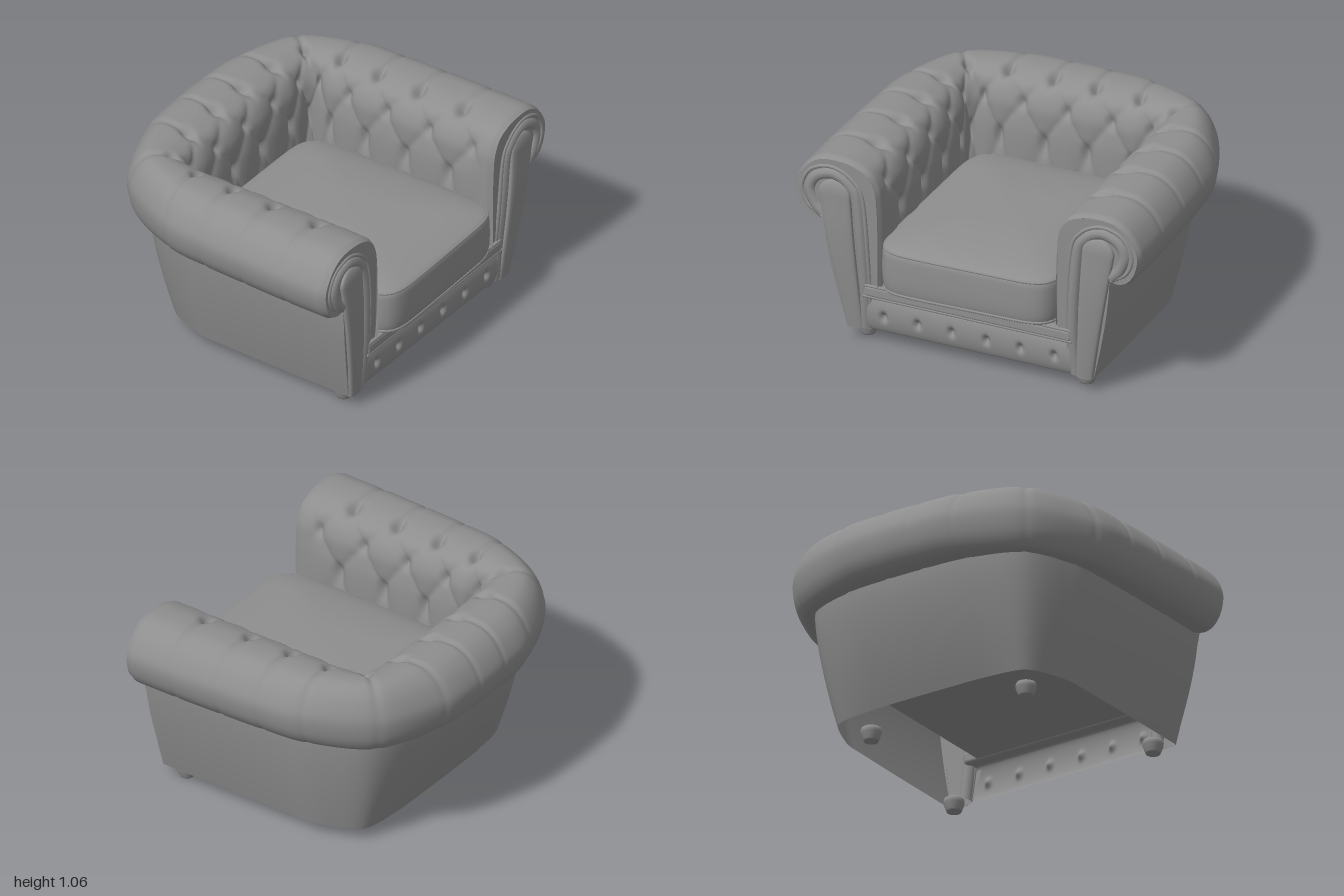
import * as THREE from 'three';
import { RoundedBoxGeometry } from 'three/addons/geometries/RoundedBoxGeometry.js';

const material = new THREE.MeshStandardMaterial({ color: 0x8e8e8e, side: THREE.DoubleSide });
const { smoothstep, lerp } = THREE.MathUtils;
const END = 7.5; // the upholstery is measured in tufts, from -END to END around the chair

function add(parent, name, geometry) {
  const mesh = new THREE.Mesh(geometry, material);
  mesh.name = name;
  parent.add(mesh);
  return mesh;
}

// Smooth surface from a function of (u, v), both 0..1
function surface(nu, nv, fn) {
  const pos = [], idx = [];
  for (let i = 0; i <= nu; i++)
    for (let j = 0; j <= nv; j++) {
      pos.push(...fn(i / nu, j / nv).toArray());
      if (i < nu && j < nv) {
        const a = i * (nv + 1) + j, b = a + nv + 1;
        idx.push(a, b, a + 1, b, b + 1, a + 1);
      }
    }
  const g = new THREE.BufferGeometry();
  g.setAttribute('position', new THREE.Float32BufferAttribute(pos, 3));
  g.setIndex(idx);
  g.computeVertexNormals();
  return g;
}

const curve = pts =>
  new THREE.CatmullRomCurve3(pts.map(([x, y, z = 0]) => new THREE.Vector3(x, y, z)), false, 'catmullrom');

const tube = (points, r, closed = false) =>
  new THREE.TubeGeometry(new THREE.CatmullRomCurve3(points, closed), points.length * 2, r, 10, closed);

// Plan rails around the chair: one [x, z] per pleat, mirrored
const rail = half => curve([
  ...half.slice().reverse().map(([x, z]) => [-x, 0, z]),
  ...half.map(([x, z]) => [x, 0, z])]);
const innerRail = rail([[0.125, -0.4], [0.38, -0.4], [0.53, -0.395], [0.52, -0.27],
  [0.51, -0.04], [0.505, 0.22], [0.5, 0.5], [0.5, 0.785]]);
const outerRail = rail([[0.11, -0.86], [0.37, -0.83], [0.735, -0.66], [0.93, -0.3],
  [0.97, -0.04], [0.985, 0.22], [0.995, 0.5], [0.995, 0.785]]);

// Cross-section of back and arms: [inner to outer 0..1, height]
const section = curve([[0, 0.33], [0, 0.52], [0.005, 0.71], [0.015, 0.82], [0.04, 0.915], [0.13, 1.0],
  [0.3, 1.045], [0.5, 1.06], [0.7, 1.05], [0.86, 1.0], [0.97, 0.92], [1, 0.85], [0.96, 0.76],
  [0.86, 0.695], [0.74, 0.675], [0.64, 0.685]]);
const SPANS = 15;

// Depth of the diamond tufting, of the pleats over the roll, and of the rounded front end
function tuftDepth(s, row) {
  const q = Math.abs(s), fade = 1 - smoothstep(q, 6.9, 7.3);
  const a = Math.abs(Math.cos(Math.PI * (s - row / 2)));
  const b = Math.abs(Math.cos(Math.PI * (s + row / 2)));
  const diamond = 0.022 * (Math.sqrt(a * b) - 0.6) - 0.03 * Math.exp(-(a * a + b * b) / 0.15);
  const d = Math.abs(s - Math.floor(s) - 0.5);
  const fold = -0.014 * Math.exp(-((d / 0.06) ** 2)) - 0.04 * Math.exp(-(d * d + (row - 2) ** 2 / 4) / 0.014);
  const pleat = fold * (1 - 0.75 * smoothstep(row, 2, 4.5));
  return fade * lerp(diamond, pleat, smoothstep(row, 1.3, 1.9)) - 0.014 * smoothstep(q, 7.38, END);
}

function bodyPoint(s, v) {
  const u = (s + END) / (2 * END);
  const a = innerRail.getPoint(u), e = outerRail.getPoint(u).sub(a);
  const L = e.length(), p = section.getPoint(v), k = section.getTangent(v);
  const n = new THREE.Vector2(-k.y, k.x * L).normalize();
  const d = tuftDepth(s, (v * SPANS - 2) / 2);
  a.addScaledVector(e, p.x + n.x * d / L);
  a.y = p.y + n.y * d;
  return a;
}

// Front faces curve back towards the floor
const lean = y => 0.05 * Math.pow(Math.max(0, 0.7 - y) / 0.63, 1.6);

function shellPoint(s, y) {
  const u = (s + END) / (2 * END), k = (y - 0.07) / 0.62, q = Math.abs(s);
  const bottom = lerp(0.23, 0.42, smoothstep(q, 2, 4));
  const t = lerp(bottom, 0.65, 1 - Math.pow(Math.max(0, 1 - k), 1.5));
  const p = innerRail.getPoint(u).lerp(outerRail.getPoint(u), t);
  p.y = y;
  p.z -= lean(y) * smoothstep(q, 4.5, END);
  return p;
}

// Scroll-shaped front of one arm, for +x
function buildArmFront() {
  const arm = new THREE.Group();
  // Flat end of the padded arm
  const outline = [new THREE.Vector2(0.57, 0.07)];
  for (let i = 0; i <= 60; i++) {
    const p = bodyPoint(END, i / 60);
    outline.push(new THREE.Vector2(p.x, p.y));
  }
  for (let i = 0; i <= 10; i++) {
    const p = shellPoint(END, 0.68 - 0.061 * i);
    outline.push(new THREE.Vector2(p.x, p.y));
  }
  const end = new THREE.ShapeGeometry(new THREE.Shape(outline));
  const pos = end.attributes.position;
  for (let i = 0; i < pos.count; i++) pos.setZ(i, 0.785 - lean(pos.getY(i)));
  end.computeVertexNormals();
  add(arm, 'armEnd', end);

  // Padded band that curls over the top, with piping along its outer edge
  const follow = (pts, z) => curve(pts).getPoints(50).map(p => new THREE.Vector3(p.x, p.y, z - lean(p.y)));
  add(arm, 'scrollBand', tube(follow([[0.607, 0.08], [0.6, 0.35], [0.632, 0.8], [0.68, 0.915],
    [0.77, 0.965], [0.865, 0.935], [0.905, 0.86], [0.88, 0.775], [0.83, 0.72]], 0.77), 0.034));
  add(arm, 'scrollPiping', tube(follow([[0.585, 0.08], [0.57, 0.35], [0.595, 0.8], [0.65, 0.94],
    [0.77, 1.005], [0.895, 0.97], [0.95, 0.865], [0.92, 0.765], [0.83, 0.7]], 0.783), 0.011));

  // Cushioned post panel with a round top
  add(arm, 'postPanel', surface(24, 60, (u, v) => {
    const y = lerp(0.07, 0.935, 1 - (1 - v) ** 2);
    const k = Math.min(1, (y - 0.07) / 0.78);
    const round = Math.sqrt(Math.max(0, 1 - (Math.max(0, y - 0.85) / 0.085) ** 2));
    const q = lerp(-1, 1, u), mid = lerp(0.66, 0.76, k);
    const half = lerp(0.047, 0.092, k) * round;
    const bulge = Math.sqrt(1 - q * q) * round;
    return new THREE.Vector3(mid + half * Math.sin(q * Math.PI / 2), y, 0.783 + 0.028 * bulge - lean(y));
  }));
  return arm;
}

function buildCushion(chair) {
  // Rounded-square plan rings, scaled along a [size, height] profile
  const ring = (a, size, y) => {
    const c = Math.cos(a), s = Math.sin(a);
    const r = size / Math.pow(Math.abs(c) ** 8 + Math.abs(s) ** 8, 1 / 8);
    const x = (0.505 + 0.012 * s) * r * c;
    const skew = s > 0 ? 0.03 * x * s : 0;
    return new THREE.Vector3(x, y, 0.235 + 0.617 * r * s - skew);
  };
  const profile = curve([[0, 0.36], [0.6, 0.36], [0.95, 0.36], [0.985, 0.375], [1, 0.44], [1, 0.55],
    [0.99, 0.6], [0.95, 0.622], [0.75, 0.65], [0.4, 0.672], [0, 0.678]]);
  add(chair, 'seatCushion', surface(120, 50, (u, v) => {
    const p = profile.getPoint(v);
    return ring(u * Math.PI * 2, Math.max(0, p.x), p.y);
  }));
  for (const y of [0.606, 0.372]) {
    const loop = [];
    for (let i = 0; i < 96; i++) loop.push(ring(i / 96 * Math.PI * 2, 0.984, y));
    add(chair, 'cushionPiping', tube(loop, 0.007, true));
  }
}

export function createModel() {
  const chair = new THREE.Group();
  chair.name = 'tuftedArmchair';

  // Padded back and arms in one sweep, and the plain outer shell below the roll
  add(chair, 'tuftedBackAndArms', surface(330, 105, (u, v) => bodyPoint((u * 2 - 1) * END, v)));
  add(chair, 'outerShell', surface(120, 16, (u, v) => shellPoint((u * 2 - 1) * END, lerp(0.07, 0.69, v))));

  for (const side of [1, -1]) {
    const arm = buildArmFront();
    arm.name = side > 0 ? 'leftArmFront' : 'rightArmFront';
    arm.scale.x = side;
    chair.add(arm);
  }

  buildCushion(chair);

  // Seat deck, seen from below inside the hollow frame
  add(chair, 'seatDeck', new THREE.BoxGeometry(1.02, 0.07, 1.2)).position.set(0, 0.325, 0.14);

  // Front rail with a row of tufts, and the padded band above it
  const tufts = [-0.49, -0.295, -0.1, 0.1, 0.295, 0.49];
  add(chair, 'frontRail', surface(180, 36, (u, v) => {
    const x = lerp(-0.585, 0.585, u), y = lerp(0.07, 0.28, v);
    let z = 0.73 + 0.03 * Math.sqrt(Math.max(0, Math.sin(Math.PI * v))) + 0.01 * v;
    for (const t of tufts) z -= 0.028 * Math.exp(-((x - t) ** 2) / 0.0003 - ((y - 0.17) ** 2) / 0.0006);
    return new THREE.Vector3(x, y, z);
  }));
  add(chair, 'frontBand', new RoundedBoxGeometry(1.2, 0.07, 0.1, 4, 0.02)).position.set(0, 0.315, 0.735);
  for (const y of [0.283, 0.347]) {
    const g = new THREE.CylinderGeometry(0.008, 0.008, 1.2, 8).rotateZ(Math.PI / 2);
    add(chair, 'bandPiping', g).position.set(0, y, 0.777);
  }

  // Turned feet
  const foot = new THREE.LatheGeometry([[0, 0], [0.038, 0], [0.042, 0.008], [0.055, 0.045], [0.056, 0.06],
    [0.05, 0.075], [0, 0.075]].map(([x, y]) => new THREE.Vector2(x, y)), 24);
  for (const side of [1, -1]) {
    add(chair, 'frontFoot', foot).position.set(0.63 * side, 0, 0.65);
    add(chair, 'backFoot', foot).position.set(0.49 * side, 0, -0.31);
  }
  return chair;
}
